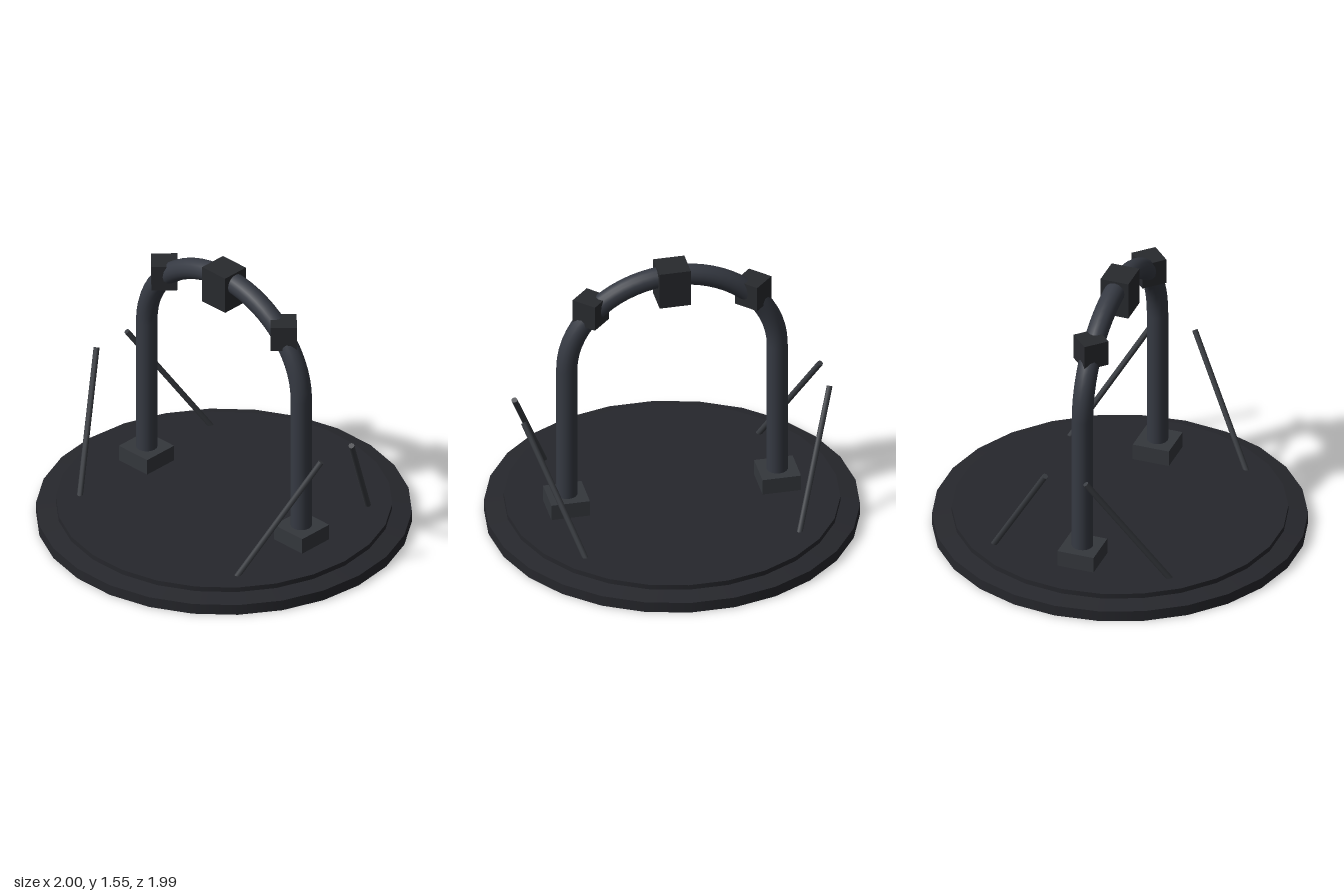
import * as THREE from 'three';

const mat = (color) => new THREE.MeshStandardMaterial({ color });

export function createModel() {
  const group = new THREE.Group();
  const baseMat = mat(0x26272c), archMat = mat(0x363a43);
  const blockMat = mat(0x282a2e), footMat = mat(0x34373c), rodMat = mat(0x3a3d42);

  const add = (name, geometry, material, x = 0, y = 0, z = 0) => {
    const mesh = new THREE.Mesh(geometry, material);
    mesh.name = name;
    mesh.position.set(x, y, z);
    group.add(mesh);
    return mesh;
  };

  // Round stepped platform: rim, sloping shoulder, raised deck
  const disc = (name, rTop, rBottom, y0, y1, open = false) => {
    const mesh = add(name, new THREE.CylinderGeometry(rTop, rBottom, y1 - y0, 26, 1, open),
      baseMat, 0, (y0 + y1) / 2, 0);
    mesh.rotation.y = Math.PI / 2;
  };
  disc('platformRim', 1, 1, 0, 0.06);
  disc('platformShoulder', 0.895, 1, 0.06, 0.077, true);
  disc('platformDeck', 0.895, 0.895, 0.061, 0.105);

  // Arch: two straight legs joined by a half ellipse
  const legX = 0.573, spring = 0.98, rise = 0.513, tubeR = 0.057;
  class ArchCurve extends THREE.Curve {
    getPoint(t, target = new THREE.Vector3()) {
      const a = Math.PI * t;
      return target.set(legX * Math.cos(a), spring + rise * Math.sin(a), 0);
    }
  }
  add('archTop', new THREE.TubeGeometry(new ArchCurve(), 32, tubeR, 16), archMat);

  for (const s of [-1, 1]) {
    add('archLeg', new THREE.CylinderGeometry(tubeR, tubeR, spring - 0.1, 16),
      archMat, s * legX, (spring + 0.1) / 2, 0);
    add('footBlock', new THREE.BoxGeometry(0.21, 0.095, 0.205), footMat, s * 0.575, 0.1475, 0);

    // Shoulder blocks stand upright, turned corner-on
    const block = add('shoulderBlock', new THREE.BoxGeometry(0.14, 0.145, 0.14),
      blockMat, s * 0.442, 1.337, 0);
    block.rotation.y = s * Math.PI / 4;

    // Leaning rods, one front and one back on each side
    for (const f of [-1, 1]) {
      const from = new THREE.Vector3(s * 0.578, 0.085, f * 0.507);
      const to = new THREE.Vector3(s * 0.833, 0.748, f * 0.115);
      const dir = to.clone().sub(from);
      const rod = add('leaningRod', new THREE.CylinderGeometry(0.016, 0.016, dir.length(), 8), rodMat);
      rod.position.copy(from).add(to).multiplyScalar(0.5);
      rod.quaternion.setFromUnitVectors(new THREE.Vector3(0, 1, 0), dir.normalize());
    }
  }

  // Crown block
  add('crownBlock', new THREE.BoxGeometry(0.17, 0.213, 0.158), blockMat, 0, 1.448, 0);

  return group;
}
